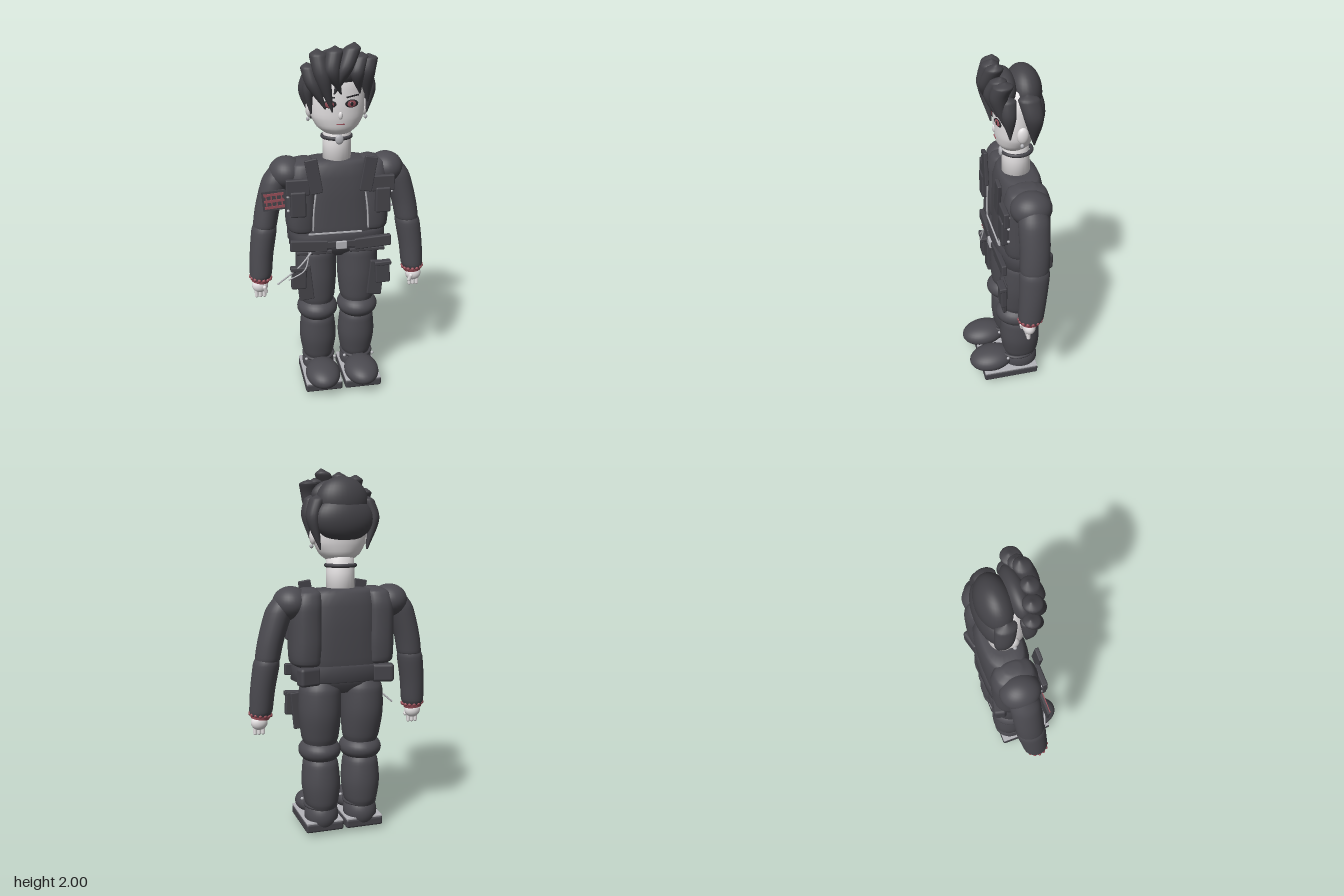
import * as THREE from 'three';
import { RoundedBoxGeometry } from 'three/addons/geometries/RoundedBoxGeometry.js';

const mat = (name, color) => {
  const m = new THREE.MeshStandardMaterial({ color });
  m.name = name;
  return m;
};

// Closed skin over horizontal oval sections [x, y, z, rx, rz], listed from bottom to top.
function loft(sections, power = 2, smooth = 0, sides = 28) {
  let rows = sections;
  if (smooth) {
    const pick = (a, b, c) => new THREE.CatmullRomCurve3(sections.map(s => new THREE.Vector3(s[a], s[b], s[c] ?? 0)));
    const path = pick(0, 1, 2), radii = pick(3, 4, 9);
    rows = [];
    for (let i = 0; i <= smooth; i++) {
      const p = path.getPoint(i / smooth), r = radii.getPoint(i / smooth);
      rows.push([p.x, p.y, p.z, Math.max(r.x, 0.003), Math.max(r.y, 0.003)]);
    }
  }
  const pos = [], idx = [], n = rows.length;
  const bend = v => Math.sign(v) * Math.abs(v) ** (2 / power);
  for (const [x, y, z, rx, rz] of rows)
    for (let j = 0; j < sides; j++) {
      const t = (j / sides) * Math.PI * 2;
      pos.push(x + rx * bend(Math.cos(t)), y, z + rz * bend(Math.sin(t)));
    }
  pos.push(...rows[0].slice(0, 3), ...rows[n - 1].slice(0, 3));
  for (let j = 0; j < sides; j++) {
    const k = (j + 1) % sides, top = (n - 1) * sides;
    for (let i = 0; i < n - 1; i++) {
      const a = i * sides + j, b = i * sides + k;
      idx.push(a, a + sides, b, b, a + sides, b + sides);
    }
    idx.push(n * sides, j, k, n * sides + 1, top + k, top + j);
  }
  const g = new THREE.BufferGeometry();
  g.setAttribute('position', new THREE.Float32BufferAttribute(pos, 3));
  g.setIndex(idx);
  g.computeVertexNormals();
  return g;
}

export function createModel() {
  const root = new THREE.Group();
  const cloth = mat('charcoal cloth', 0x4b4a50), hair = mat('dark hair', 0x434247);
  const gear = mat('dark gear', 0x45444a), skin = mat('pale skin', 0xe4e1e2);
  const red = mat('dusty red', 0x984e58), metal = mat('light metal', 0xb4b4b9);
  const black = mat('black line', 0x27262a);

  const add = (name, geo, m, p = [0, 0, 0], r = [0, 0, 0], s = [1, 1, 1]) => {
    const o = new THREE.Mesh(geo, m);
    o.name = name;
    o.position.set(...p);
    o.rotation.set(...r);
    o.scale.set(...s);
    root.add(o);
    return o;
  };
  const ball = new THREE.SphereGeometry(1, 32, 20);
  const oval = (name, m, p, s, r) => add(name, ball, m, p, r, s);
  const box = (name, m, p, s, r) => add(name, new RoundedBoxGeometry(...s, 2, Math.min(...s) * 0.25), m, p, r);
  const rod = (name, m, pts, rad) => add(name, new THREE.TubeGeometry(
    new THREE.CatmullRomCurve3(pts.map(p => new THREE.Vector3(...p))), 16, rad, 8), m);

  // Torso, collar and belt
  add('torso', loft([[0, 0.86, -0.08, 0.2, 0.09], [0, 0.9, -0.08, 0.26, 0.115], [0, 1.0, -0.085, 0.23, 0.12],
    [0, 1.15, -0.088, 0.21, 0.125], [0, 1.28, -0.09, 0.2, 0.125], [0, 1.345, -0.09, 0.18, 0.11],
    [0, 1.365, -0.09, 0.165, 0.095], [0, 1.37, -0.09, 0.1, 0.07]], 2.7), cloth);
  add('hips', loft([[0, 0.8, -0.09, 0.1, 0.06], [0, 0.85, -0.085, 0.22, 0.11], [0, 0.93, -0.08, 0.25, 0.13]], 2.4), cloth);
  add('belt', loft([[0, 0.865, -0.08, 0.25, 0.115], [0, 0.875, -0.08, 0.275, 0.138], [0, 0.95, -0.08, 0.275, 0.138],
    [0, 0.96, -0.08, 0.25, 0.12]], 2.5), gear);
  box('beltFront', gear, [0, 0.905, 0.055], [0.4, 0.04, 0.02]);
  box('buckle', metal, [0, 0.903, 0.066], [0.06, 0.045, 0.016]);
  box('waistTrim', metal, [-0.03, 0.968, 0.042], [0.3, 0.01, 0.008]);

  // Neck, choker and pendant
  add('neck', loft([[0, 1.34, -0.08, 0.078, 0.076], [0, 1.45, -0.078, 0.078, 0.074], [0, 1.56, -0.07, 0.075, 0.07]]), skin);
  add('choker', new THREE.TorusGeometry(0.078, 0.011, 10, 40), gear, [0, 1.49, -0.083], [Math.PI / 2, 0, 0]);
  oval('pendant', metal, [0, 1.487, 0.002], [0.023, 0.027, 0.012]);

  // Head and face
  add('head', loft([[0, 1.505, -0.06, 0.03, 0.025], [0, 1.515, -0.06, 0.065, 0.06], [0, 1.55, -0.063, 0.112, 0.09],
    [0, 1.61, -0.065, 0.143, 0.103], [0, 1.69, -0.067, 0.15, 0.107], [0, 1.78, -0.07, 0.147, 0.104],
    [0, 1.86, -0.075, 0.115, 0.08], [0, 1.9, -0.08, 0.04, 0.03]], 2, 28), skin);
  oval('nose', skin, [0, 1.625, 0.036], [0.012, 0.022, 0.012]);
  box('mouth', red, [0, 1.577, 0.033], [0.045, 0.006, 0.006]);
  for (const s of [-1, 1]) {
    const tilt = [0, s * 0.24, 0];
    oval('eyeOutline', black, [s * 0.06, 1.686, 0.032], [0.038, 0.021, 0.004], tilt);
    oval('iris', red, [s * 0.06, 1.685, 0.0345], [0.025, 0.018, 0.004], tilt);
    oval('pupil', black, [s * 0.06, 1.685, 0.037], [0.009, 0.011, 0.003], tilt);
    oval('eyeGlint', metal, [s * 0.06 - 0.009, 1.692, 0.0385], [0.004, 0.004, 0.002], tilt);
    box('eyebrow', black, [s * 0.065, 1.725, 0.032], [0.07, 0.008, 0.006], [0, s * 0.24, s * 0.15]);
    oval('ear', skin, [s * 0.15, 1.645, -0.075], [0.02, 0.045, 0.03]);
    oval('earring', metal, [s * 0.158, 1.592, -0.07], [0.01, 0.012, 0.01]);
  }

  // Hair: crown, back and tapering locks
  oval('hairCrown', hair, [0, 1.825, -0.11], [0.142, 0.13, 0.093]);
  oval('hairBack', hair, [0, 1.735, -0.137], [0.165, 0.12, 0.08]);
  const lock = (name, top, mid, tip, w, d = w) => add(name, loft([
    [...tip, 0.004, 0.004], [...mid, w * 0.9, d * 0.9],
    [...top.map((v, i) => v * 0.75 + mid[i] * 0.25), w, d], [...top, 0.006, 0.006]], 2, 20, 18), hair);
  lock('fringeLock', [0.07, 2.0, 0.04], [0.015, 1.87, 0.075], [-0.035, 1.74, 0.045], 0.045);
  lock('fringeLock', [-0.03, 1.985, 0.04], [-0.05, 1.86, 0.075], [0.0, 1.74, 0.05], 0.045);
  lock('fringeLock', [-0.12, 1.97, 0.02], [-0.1, 1.84, 0.06], [-0.045, 1.645, 0.045], 0.048);
  lock('fringeLock', [-0.17, 1.9, 0.0], [-0.145, 1.79, 0.035], [-0.08, 1.66, 0.035], 0.042);
  lock('fringeLock', [0.15, 1.94, 0.02], [0.135, 1.85, 0.045], [0.15, 1.69, 0.01], 0.05);
  lock('fringeLock', [0.11, 1.95, 0.03], [0.08, 1.85, 0.07], [0.1, 1.74, 0.045], 0.042);
  for (const s of [-1, 1]) {
    lock('templeLock', [s * 0.14, 1.86, 0.0], [s * 0.165, 1.76, 0.0], [s * 0.15, 1.63, -0.01], 0.032, 0.04);
    lock('sideLock', [s * 0.13, 1.86, -0.1], [s * 0.165, 1.74, -0.125], [s * 0.13, 1.575, -0.14], 0.04, 0.055);
  }
  oval('hairBrow', hair, [0, 1.86, -0.01], [0.14, 0.085, 0.06]);

  for (const s of [-1, 1]) {
    // Vest sides, straps and pouches
    add('vestSide', loft([[s * 0.19, 0.95, -0.09, 0.06, 0.08], [s * 0.2, 0.975, -0.09, 0.085, 0.115],
      [s * 0.2, 1.1, -0.09, 0.09, 0.125], [s * 0.2, 1.27, -0.09, 0.088, 0.125],
      [s * 0.19, 1.35, -0.09, 0.075, 0.1], [s * 0.18, 1.375, -0.09, 0.03, 0.04]], 2.5, 24), cloth);
    box('chestStrap', gear, [s * 0.15, 1.305, 0.055], [0.07, 0.195, 0.022], [0, 0, -s * 0.17]);
    box('strapBar', gear, [s * 0.235, 1.245, 0.042], [0.13, 0.09, 0.03]);
    box('chestPouch', gear, [s * 0.235, 1.15, 0.045], [0.085, 0.145, 0.04]);
    rod('zipper', metal, [[s * 0.138, 1.2, 0.044], [s * 0.15, 1.1, 0.046], [s * 0.155, 0.99, 0.046]], 0.005);
    for (const y of [1.11, 1.19, 1.26]) oval('stud', metal, [s * 0.288, y, 0.03], [0.008, 0.008, 0.008]);
    box('beltBar', gear, [s * 0.18, 0.905, 0.05], [0.21, 0.065, 0.03], [0, 0, s * 0.06]);
    box('lowerBeltBar', gear, [s * 0.15, 0.86, 0.045], [0.2, 0.02, 0.02]);
    box('beltBackPouch', gear, [s * 0.21, 0.91, -0.185], [0.12, 0.1, 0.07], [0, s * 0.25, 0]);

    // Arms with cuffs and hands
    oval('shoulder', cloth, [s * 0.28, 1.295, -0.09], [0.098, 0.09, 0.11]);
    add('upperArm', loft([[s * 0.41, 0.97, -0.08, 0.05, 0.055], [s * 0.408, 1.0, -0.08, 0.067, 0.078],
      [s * 0.39, 1.1, -0.085, 0.07, 0.08], [s * 0.345, 1.25, -0.088, 0.075, 0.082],
      [s * 0.31, 1.34, -0.09, 0.05, 0.055]], 2, 20), cloth);
    add('forearm', loft([[s * 0.447, 0.69, -0.055, 0.056, 0.062], [s * 0.444, 0.715, -0.057, 0.063, 0.07],
      [s * 0.435, 0.83, -0.067, 0.067, 0.075], [s * 0.415, 0.97, -0.078, 0.071, 0.081],
      [s * 0.405, 1.04, -0.082, 0.045, 0.05]], 2, 20), cloth);
    add('cuff', new THREE.CylinderGeometry(0.056, 0.05, 0.03, 28), red, [s * 0.447, 0.685, -0.053], [0, 0, s * 0.12], [1, 1, 1.08]);
    for (let i = 0; i < 14; i++) {
      const a = i / 14 * Math.PI * 2;
      oval('cuffFrill', red, [s * 0.446 + 0.056 * Math.cos(a), 0.693 + s * 0.006 * Math.cos(a), -0.053 + 0.061 * Math.sin(a)], [0.01, 0.01, 0.01]);
    }
    oval('palm', skin, [s * 0.452, 0.645, -0.045], [0.046, 0.042, 0.036]);
    for (const f of [-1, 0, 1])
      add('finger', new THREE.CapsuleGeometry(0.011, 0.04, 4, 10), skin, [s * 0.452 + f * 0.022, 0.603, -0.038]);
    add('thumb', new THREE.CapsuleGeometry(0.011, 0.03, 4, 10), skin, [s * 0.425, 0.63, -0.012], [0.2, 0, -s * 0.3]);

    // Legs
    add('thigh', loft([[s * 0.118, 0.49, -0.075, 0.08, 0.09], [s * 0.119, 0.55, -0.08, 0.102, 0.11],
      [s * 0.122, 0.7, -0.09, 0.117, 0.125], [s * 0.12, 0.82, -0.09, 0.115, 0.12],
      [s * 0.115, 0.89, -0.085, 0.085, 0.09]], 2.1, 24), cloth);
    oval('knee', cloth, [s * 0.119, 0.472, -0.073], [0.118, 0.075, 0.132]);
    add('calf', loft([[s * 0.115, 0.12, -0.09, 0.065, 0.08], [s * 0.115, 0.18, -0.09, 0.093, 0.105],
      [s * 0.116, 0.29, -0.085, 0.107, 0.117], [s * 0.117, 0.4, -0.08, 0.098, 0.11],
      [s * 0.118, 0.46, -0.075, 0.07, 0.08]], 2.1, 24), cloth);

    // Shoes
    oval('heel', cloth, [s * 0.115, 0.1, -0.088], [0.095, 0.1, 0.105]);
    oval('toe', cloth, [s * 0.115, 0.11, 0.09], [0.1, 0.066, 0.133], [0.08, 0, 0]);
    box('sole', gear, [s * 0.116, 0.047, -0.012], [0.216, 0.05, 0.33]);
    box('soleTrim', metal, [s * 0.116, 0.075, -0.012], [0.21, 0.012, 0.324]);
    add('ankleStrap', new THREE.TorusGeometry(0.088, 0.009, 8, 32), gear, [s * 0.115, 0.155, -0.075], [Math.PI / 2, 0, 0], [1, 1.12, 1]);
    for (const q of [-1, 1]) oval('shoeStud', metal, [s * 0.115 + q * 0.085, 0.16, 0.005], [0.009, 0.009, 0.009]);

    // Thigh pouches
    box('thighPanel', gear, [s * 0.205, 0.675, 0.035], [0.085, 0.21, 0.022], [0, 0, -s * 0.1]);
    box('thighPouch', gear, [s * 0.24, 0.715, 0.05], [0.085, 0.13, 0.035], [0, 0, s * 0.04]);
    box('thighPouchFlap', gear, [s * 0.24, 0.772, 0.055], [0.095, 0.025, 0.04], [0, 0, s * 0.04]);
  }

  // Hanging chain
  rod('chain', metal, [[-0.17, 0.87, 0.065], [-0.24, 0.79, 0.07], [-0.36, 0.68, 0.04]], 0.005);
  rod('chain', metal, [[-0.18, 0.87, 0.06], [-0.21, 0.77, 0.075], [-0.3, 0.71, 0.06]], 0.004);

  // Arm patch with a dark lattice
  const patch = new THREE.Group();
  patch.name = 'armPatch';
  patch.position.set(-0.362, 1.17, 0.016);
  patch.rotation.z = 0.08;
  root.add(patch);
  const piece = (name, m, x, y, z, w, h, d) => {
    const o = new THREE.Mesh(new THREE.BoxGeometry(w, h, d), m);
    o.name = name;
    o.position.set(x, y, z);
    patch.add(o);
  };
  piece('patchBacking', gear, 0, 0, -0.004, 0.128, 0.11, 0.012);
  for (const y of [-0.036, 0, 0.036]) piece('patchStripe', red, 0, y, 0.005, 0.11, 0.013, 0.008);
  for (const x of [-0.042, -0.014, 0.014, 0.042]) piece('patchBar', red, x, 0, 0.004, 0.007, 0.085, 0.006);
  return root;
}
